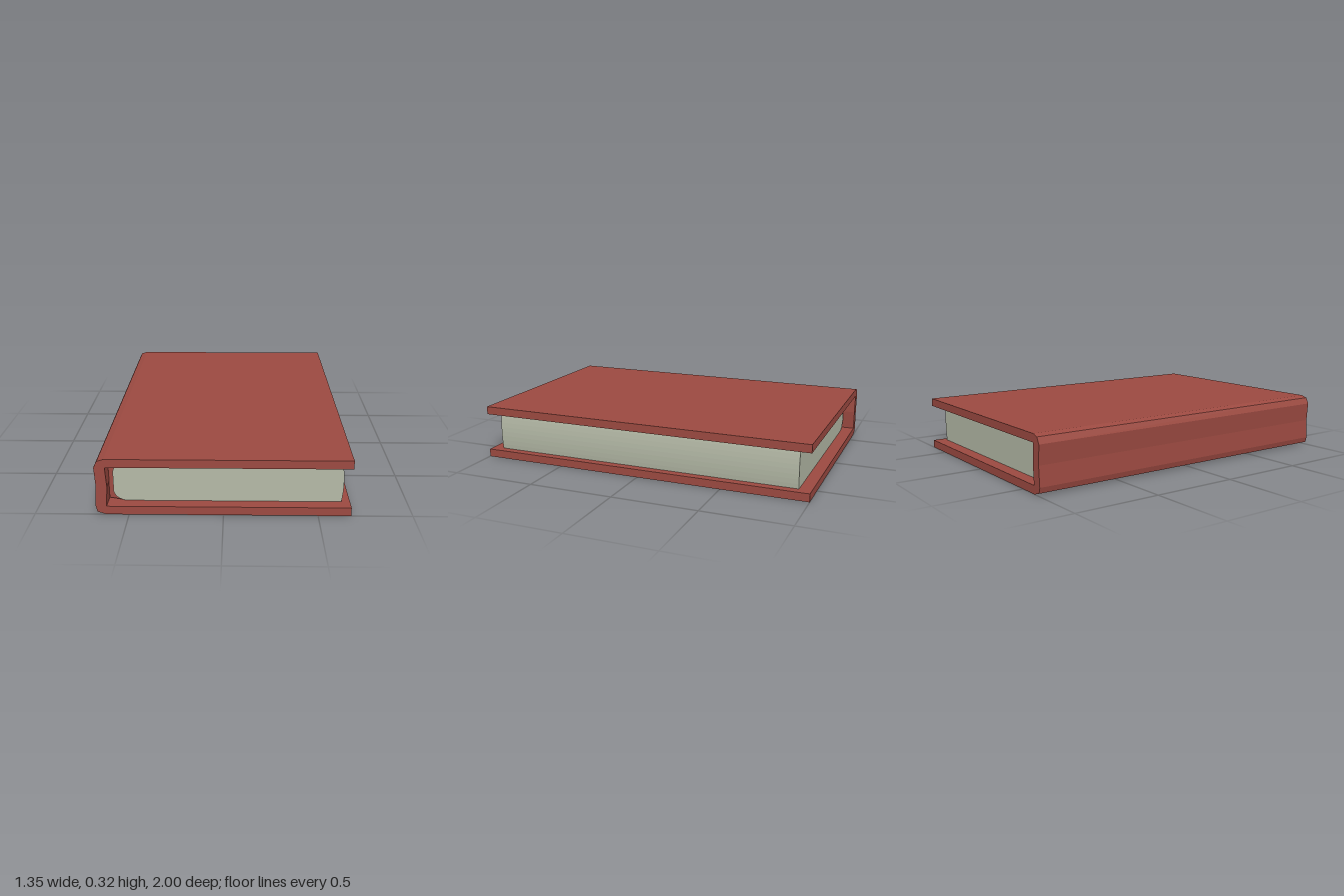
import * as THREE from 'three';

const coverRed = new THREE.MeshStandardMaterial({ name: 'coverRed', color: 0x9c4a41 });
const paper = new THREE.MeshStandardMaterial({ name: 'paper', color: 0xb5baa7 });

// Extrude an outline in the x-y plane to a given length, centred on z
function slab(name, shape, length, material) {
  const geometry = new THREE.ExtrudeGeometry(shape, { depth: length, bevelEnabled: false, curveSegments: 8 });
  geometry.translate(0, 0, -length / 2);
  const mesh = new THREE.Mesh(geometry, material);
  mesh.name = name;
  return mesh;
}

function outline(points) {
  return new THREE.Shape(points.map(([x, y]) => new THREE.Vector2(x, y)));
}

export function createModel() {
  const book = new THREE.Group();
  book.name = 'book';

  // Cover: two boards joined by a slightly hollow spine, one C-shaped profile
  const cover = outline([
    [0.675, 0], [0.675, 0.047], [-0.617, 0.047], [-0.61, 0.16], [-0.617, 0.27],
    [0.675, 0.27], [0.675, 0.317], [-0.62, 0.317], [-0.657, 0.306], [-0.675, 0.27],
    [-0.668, 0.16], [-0.675, 0.047], [-0.667, 0.015], [-0.62, 0],
  ]);
  book.add(slab('cover', cover, 2, coverRed));

  // Page block: rounded at the spine, gently bulging at the fore edge
  const pages = new THREE.Shape();
  pages.moveTo(-0.52, 0.048);
  pages.lineTo(0.629, 0.048);
  pages.quadraticCurveTo(0.647, 0.159, 0.629, 0.269);
  pages.lineTo(-0.48, 0.269);
  pages.bezierCurveTo(-0.55, 0.262, -0.587, 0.255, -0.588, 0.21);
  pages.lineTo(-0.588, 0.1);
  pages.quadraticCurveTo(-0.575, 0.055, -0.52, 0.048);
  book.add(slab('pages', pages, 1.86, paper));

  // Lining that fills the gap between the pages and the spine
  const lining = outline([
    [-0.612, 0.06], [-0.54, 0.048], [-0.588, 0.1], [-0.588, 0.21], [-0.53, 0.269], [-0.612, 0.258],
  ]);
  book.add(slab('spineLining', lining, 1.84, coverRed));

  return book;
}
